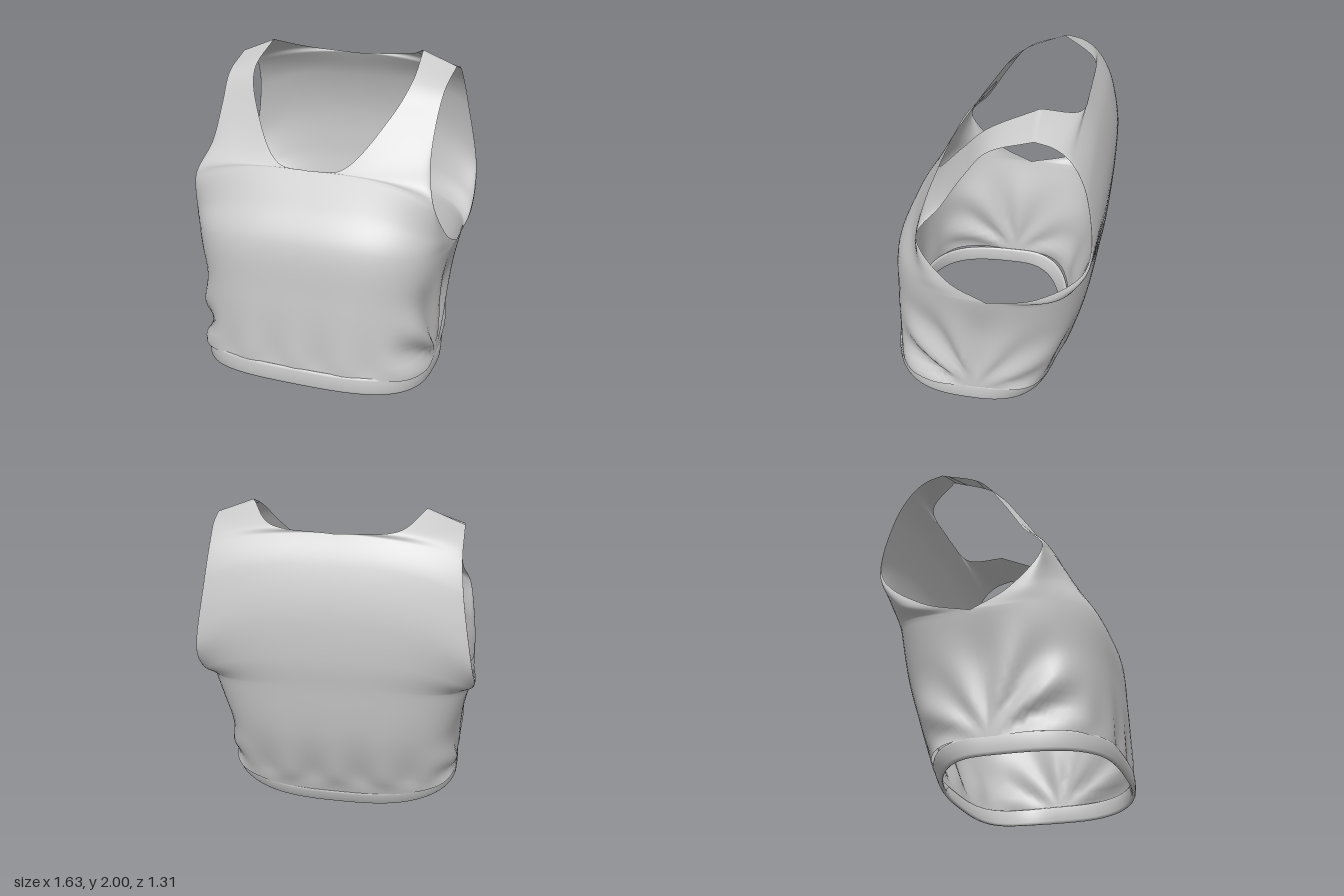
import * as THREE from 'three';
import { mergeGeometries, mergeVertices } from 'three/addons/utils/BufferGeometryUtils.js';

const { smoothstep, lerp } = THREE.MathUtils;
const V = (x, y, z) => new THREE.Vector3(x, y, z);
const spline = (pts, closed = false) => new THREE.CatmullRomCurve3(pts, closed);
const material = new THREE.MeshStandardMaterial({ color: 0xcccccc, side: THREE.DoubleSide });
const ACROSS = 28, PER_ROW = 10, ROWS = 8;

// Points shared by the front and back panels
const seam = [V(.73, .17, .05), V(.74, .6, 0), V(.8, .9, -.04)];
const shoulderNeck = V(.49, 2, -.28), shoulderTip = V(.7, 1.915, -.28);

// Each panel: centre line, then neckline, on the inside; armhole on the outside
const front = {
  neckRow: 4, straighten: [4, 6],
  centre: [V(0, .2, .64), V(0, .66, .63), V(0, 1, .595), V(0, 1.2, .48), V(0, 1.38, .375)],
  neck: [V(.2, 1.405, .36), V(.42, 1.68, .16), V(.5, 1.86, 0), shoulderNeck],
  arm: [V(.79, 1.02, .19), V(.745, 1.27, .365), V(.69, 1.45, .235), V(.68, 1.66, .1), V(.69, 1.82, -.03), shoulderTip],
};
const back = {
  neckRow: 6, straighten: [5, 8],
  centre: [V(0, .11, -.4), V(0, .6, -.56), V(0, 1, -.625), V(0, 1.2, -.65), V(0, 1.5, -.645), V(0, 1.75, -.58), V(0, 1.905, -.5)],
  neck: [V(.35, 1.93, -.475), shoulderNeck],
  arm: [V(.815, .98, -.33), V(.79, 1.2, -.59), V(.72, 1.62, -.57), V(.7, 1.81, -.48), V(.7, 1.885, -.39), shoulderTip],
};

// Point on a rounded quarter turn from a to b; roundness 2 gives a straight line
function quarter(a, b, s, roundness) {
  const angle = smoothstep(s, 0, 1) * Math.PI / 2;
  const sin = Math.sin(angle), cos = Math.max(Math.cos(angle), 0);
  return V(lerp(a.x, b.x, sin ** roundness), lerp(a.y, b.y, sin * sin), lerp(b.z, a.z, cos ** roundness));
}

// Gathers above the hem and draped folds fanning out from the side seam
function addFolds(p) {
  const h = Math.max(p.y - .18, 0) / .09;
  p.z *= 1 + h * Math.exp(1 - h) * (p.z < 0 ? .035 : .014) * Math.cos(p.x * 21);
  const dy = p.y - .16, dz = p.z - .06, r = Math.hypot(dy, dz);
  const reach = smoothstep(r, .04, .25) * (1 - smoothstep(r, .4, .75)) * smoothstep(p.x, .5, .68);
  const fold = reach * lerp(.5, 1, smoothstep(dz, -.05, .05)) * Math.sin(Math.atan2(dy, dz) * 10 + .5);
  p.x += fold * .022;
  p.z += fold * .016 * THREE.MathUtils.clamp(dz * 4, -1, 1);
  return p;
}

// Half a panel, swept row by row from the hem to the shoulder
function halfPanel({ neckRow, straighten, centre, neck, arm }, mirror) {
  const centreLine = spline(centre), neckline = spline([centre[neckRow], ...neck]);
  const sideSeam = spline(seam), armhole = spline([seam[2], ...arm]);
  const pos = [], idx = [], steps = ROWS * PER_ROW;
  const flip = (centre[0].z < 0) !== mirror;
  for (let j = 0; j <= steps; j++) {
    const row = j / PER_ROW;
    const inner = row <= neckRow ? centreLine.getPoint(row / neckRow)
      : neckline.getPoint((row - neckRow) / (ROWS - neckRow));
    const outer = row <= 2 ? sideSeam.getPoint(row / 2) : armhole.getPoint((row - 2) / (ROWS - 2));
    const roundness = lerp(.62, 2, smoothstep(row, ...straighten));
    for (let i = 0; i <= ACROSS; i++) {
      const p = addFolds(quarter(inner, outer, i / ACROSS, roundness));
      pos.push(mirror ? -p.x : p.x, p.y, p.z);
      if (i === ACROSS || j === steps) continue;
      const a = j * (ACROSS + 1) + i, b = a + 1, c = a + ACROSS + 1, d = c + 1;
      if (flip) idx.push(a, c, b, b, c, d);
      else idx.push(a, b, c, b, d, c);
    }
  }
  return makeGeometry(pos, idx);
}

function makeGeometry(pos, idx) {
  const g = new THREE.BufferGeometry();
  g.setAttribute('position', new THREE.Float32BufferAttribute(pos, 3));
  g.setIndex(idx);
  return g;
}

// Hem band: a flat rounded section swept round the waist
function bandGeometry() {
  const side = V(.72, .125, .05), half = [], Q = 10;
  for (let i = 0; i <= Q; i++) half.push(quarter(V(0, .165, .642), side, i / Q, .66));
  for (let i = Q - 1; i >= 0; i--) half.push(quarter(V(0, .056, -.375), side, i / Q, .7));
  const other = half.slice(1, -1).reverse().map((p) => V(-p.x, p.y, p.z));
  const curve = spline([...half, ...other], true);
  const N = 128, M = 12, pos = [], idx = [];
  for (let i = 0; i < N; i++) {
    const p = curve.getPoint(i / N), t = curve.getTangent(i / N);
    const out = V(-t.z, 0, t.x).normalize();
    const tilt = .4 * smoothstep(-p.z, -.05, .35);
    for (let k = 0; k < M; k++) {
      const a = k / M * Math.PI * 2, s = Math.sin(a);
      const up = .056 * Math.sign(s) * Math.sqrt(Math.abs(s));
      const q = p.clone().addScaledVector(out, Math.cos(a) * .014 + up * tilt);
      pos.push(q.x, q.y + up, q.z);
      const i2 = (i + 1) % N, k2 = (k + 1) % M;
      idx.push(i * M + k, i2 * M + k, i * M + k2, i2 * M + k, i2 * M + k2, i * M + k2);
    }
  }
  return makeGeometry(pos, idx);
}

export function createModel() {
  const group = new THREE.Group();
  group.name = 'croppedTankTop';
  const add = (name, geometry) => {
    geometry.computeVertexNormals();
    const mesh = new THREE.Mesh(geometry, material);
    mesh.name = name;
    group.add(mesh);
  };

  // Front and back panels joined along the centre, sides and shoulders
  const halves = [front, back].flatMap((panel) => [halfPanel(panel, false), halfPanel(panel, true)]);
  add('bodice', mergeVertices(mergeGeometries(halves), 1e-4));
  add('hemBand', bandGeometry());
  return group;
}
